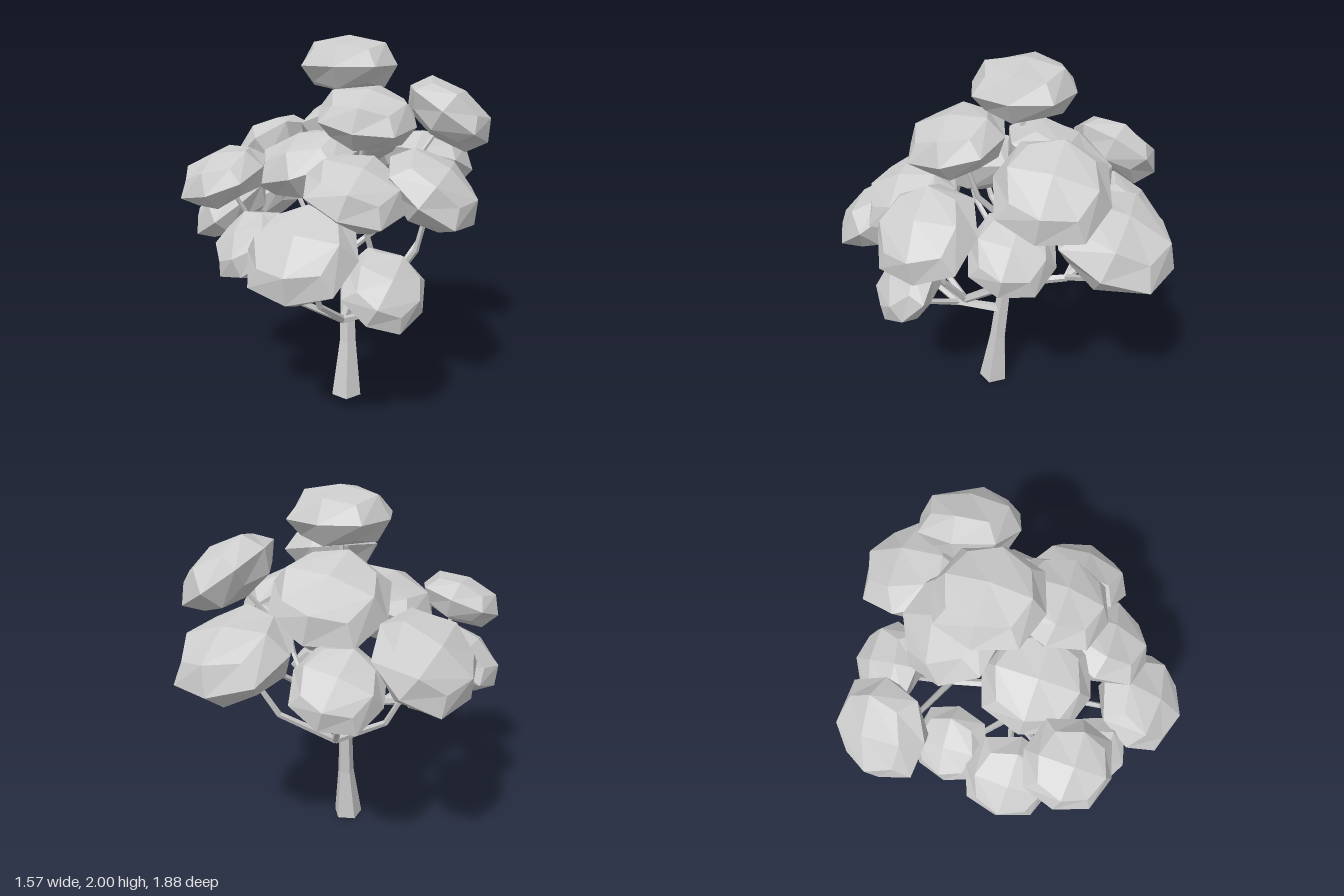
import * as THREE from 'three';

const material = new THREE.MeshStandardMaterial({ color: 0xcccccc, flatShading: true });
const UP = new THREE.Vector3(0, 1, 0);
const vec = p => new THREE.Vector3(...p);

function addMesh(parent, name, geometry) {
  const mesh = new THREE.Mesh(geometry, material);
  mesh.name = name;
  parent.add(mesh);
  return mesh;
}

// Five-sided limb along a polyline, with one radius per point
function limbGeometry(pts, radii) {
  const sides = 5, pos = [], index = [];
  pts.forEach((p, i) => {
    const dir = pts[Math.min(i + 1, pts.length - 1)].clone().sub(pts[Math.max(i - 1, 0)]).normalize();
    if (p.y === 0) dir.copy(UP); // flat foot on the ground
    for (let s = 0; s < sides; s++) {
      const a = (s / sides) * Math.PI * 2 + 0.3;
      const corner = new THREE.Vector3(Math.sin(a), 0, Math.cos(a)).multiplyScalar(radii[i]);
      corner.applyQuaternion(new THREE.Quaternion().setFromUnitVectors(UP, dir)).add(p);
      pos.push(corner.x, corner.y, corner.z);
    }
  });
  const last = (pts.length - 1) * sides;
  for (let ring = 0; ring < last; ring += sides)
    for (let s = 0; s < sides; s++) {
      const a = ring + s, b = ring + (s + 1) % sides;
      index.push(a, b, b + sides, a, b + sides, a + sides);
    }
  // end caps
  for (let s = 1; s < sides - 1; s++) index.push(0, s + 1, s, last, last + s, last + s + 1);
  const g = new THREE.BufferGeometry();
  g.setAttribute('position', new THREE.Float32BufferAttribute(pos, 3));
  g.setIndex(index);
  g.computeVertexNormals();
  return g;
}

// Cube split in two each way, with edges and corners pulled in to a faceted ball
function puffGeometry() {
  const g = new THREE.BoxGeometry(2, 2, 2, 2, 2, 2);
  const p = g.attributes.position;
  for (let i = 0; i < p.count; i++) {
    const v = new THREE.Vector3().fromBufferAttribute(p, i);
    const pull = [1, 0.75, 0.556][Math.round(v.lengthSq()) - 1];
    p.setXYZ(i, v.x * pull, v.y * pull, v.z * pull);
  }
  g.computeVertexNormals();
  return g;
}

// Flattened leaf clump whose top leans by the given x and z
function addClump(parent, name, puff, centre, radius, leanX, leanZ) {
  const clump = addMesh(parent, name + 'LeafClump', puff);
  const lean = new THREE.Vector3(leanX, Math.sqrt(1 - leanX ** 2 - leanZ ** 2), leanZ);
  clump.position.copy(centre);
  clump.scale.set(radius, radius * 0.57, radius);
  clump.quaternion.setFromUnitVectors(UP, lean);
}

// Limb from the trunk to an elbow, then one bent branch up to each clump
function addLimb(tree, puff, name, fork, elbow, clumps) {
  const limb = new THREE.Group();
  limb.name = name + 'Limb';
  tree.add(limb);
  addMesh(limb, name + 'LimbBase', limbGeometry([fork, elbow].map(vec), [0.028, 0.022]));
  for (const [part, x, y, z, radius, leanX, leanZ] of clumps) {
    const start = vec(elbow), centre = new THREE.Vector3(x, y, z);
    const bend = start.clone().lerp(centre, 0.6);
    bend.y = start.y + (y - start.y) * 0.35;
    addMesh(limb, part + 'Branch', limbGeometry([start, bend, centre], [0.021, 0.016, 0.011]));
    addClump(limb, part, puff, centre, radius, leanX, leanZ);
  }
}

export function createModel() {
  const tree = new THREE.Group();
  tree.name = 'tree';
  const puff = puffGeometry();

  // trunk, flared at the foot and running up into the top clump
  const trunk = [[0.075, 0, 0.05], [0.073, 0.32, 0.02], [0.055, 0.7, -0.02], [0.04, 1, -0.07], [0.03, 1.8, -0.11]];
  addMesh(tree, 'trunk', limbGeometry(trunk.map(vec), [0.085, 0.047, 0.037, 0.027, 0.012]));
  addClump(tree, 'top', puff, new THREE.Vector3(0.035, 1.85, -0.105), 0.265, 0, 0);

  // limbs with their leaf clumps: name, centre, radius, lean
  addLimb(tree, puff, 'front', [0.07, 0.51, 0.02], [0.12, 0.54, 0.25], [
    ['frontLow', 0.385, 0.805, 0.425, 0.22, 0.5, 0.58],
    ['front', 0.07, 1.04, 0.71, 0.272, 0, 0.62],
    ['frontRight', -0.27, 1.01, 0.55, 0.2, -0.4, 0.58],
  ]);
  addLimb(tree, puff, 'back', [0.06, 0.69, -0.02], [-0.04, 0.73, -0.35], [
    ['backLeft', 0.34, 1.26, -0.65, 0.305, 0.15, -0.35],
    ['backRight', -0.18, 1.16, -0.61, 0.23, -0.3, -0.62],
    ['rightBack', -0.555, 1.31, -0.48, 0.265, -0.6, -0.35],
  ]);
  addLimb(tree, puff, 'left', [0.06, 0.66, 0], [0.36, 0.76, 0.11], [
    ['left', 0.565, 1.27, 0.215, 0.265, 0.6, 0.12],
    ['innerLeft', 0.5, 1.19, -0.19, 0.22, 0.65, -0.2],
    ['frontLeft', 0.24, 1.28, 0.43, 0.26, 0.33, 0.3],
  ]);
  addLimb(tree, puff, 'right', [0.05, 0.72, -0.01], [-0.15, 0.79, 0.06], [
    ['rightLow', -0.55, 1.09, 0.17, 0.23, -0.58, 0.15],
    ['rightFront', -0.45, 1.32, 0.44, 0.23, -0.28, 0.25],
    ['rightInner', -0.47, 1.07, -0.17, 0.205, -0.5, -0.15],
  ]);
  addLimb(tree, puff, 'upper', [0.045, 0.95, -0.06], [0.04, 1.08, -0.02], [
    ['upperFront', 0.22, 1.61, 0.18, 0.255, 0.15, 0.2],
    ['upperLeft', 0.53, 1.575, -0.38, 0.27, 0.55, -0.15],
    ['upperRight', -0.1, 1.36, 0.17, 0.285, -0.28, 0.12],
    ['upperBack', 0.01, 1.47, -0.29, 0.31, -0.22, -0.48],
  ]);
  return tree;
}
